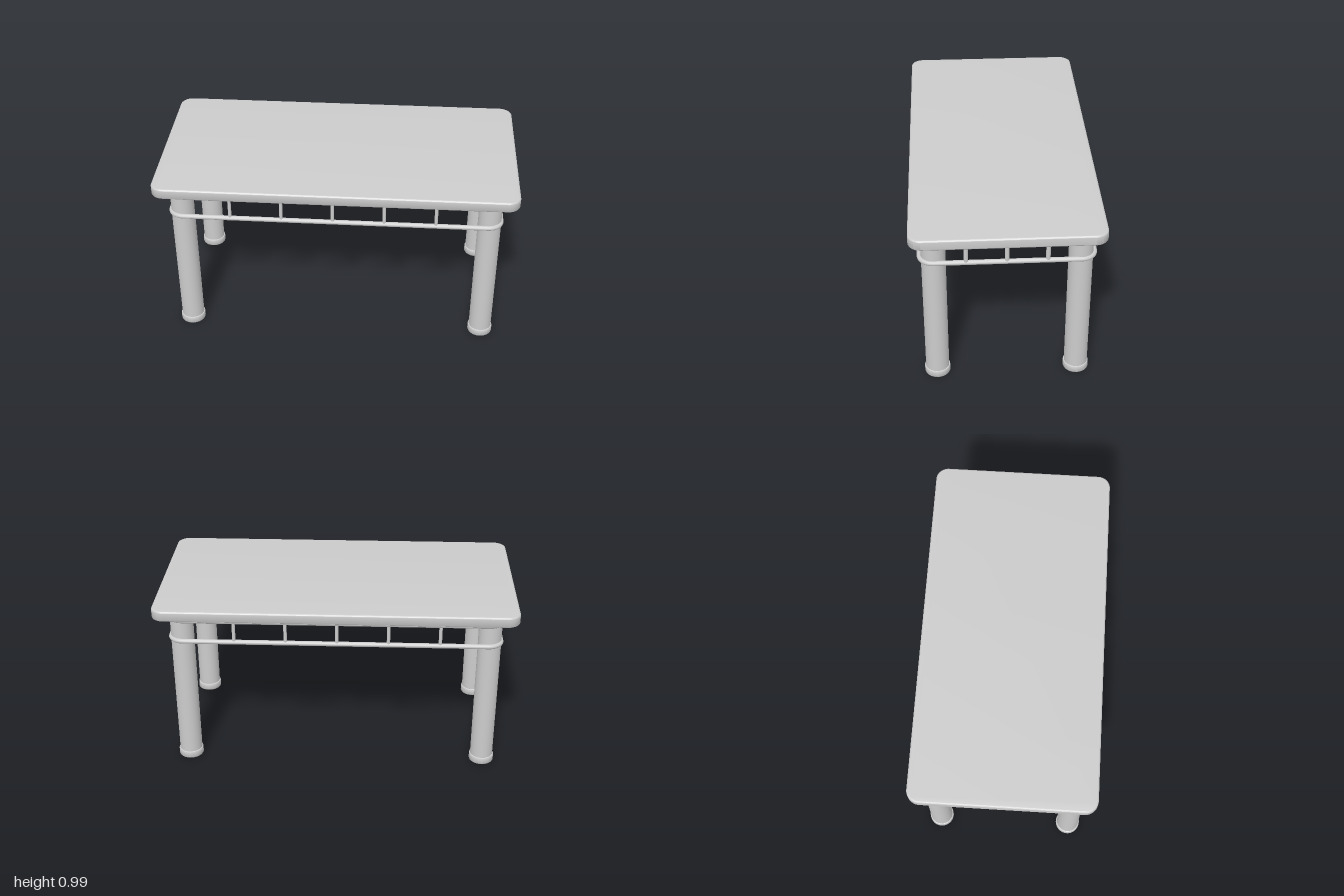
import * as THREE from 'three';
import { toCreasedNormals } from 'three/addons/utils/BufferGeometryUtils.js';

const grey = new THREE.MeshStandardMaterial({ color: 0xcccccc });

function add(parent, name, geometry, x = 0, y = 0, z = 0) {
  const mesh = new THREE.Mesh(geometry, grey);
  mesh.name = name;
  mesh.position.set(x, y, z);
  parent.add(mesh);
  return mesh;
}

// Rectangle with rounded corners, given by half sizes
function roundedRect(a, b, r) {
  const s = new THREE.Shape();
  s.moveTo(a, -b + r);
  s.lineTo(a, b - r);
  s.absarc(a - r, b - r, r, 0, Math.PI / 2);
  s.lineTo(-a + r, b);
  s.absarc(-a + r, b - r, r, Math.PI / 2, Math.PI);
  s.lineTo(-a, -b + r);
  s.absarc(-a + r, -b + r, r, Math.PI, Math.PI * 1.5);
  s.lineTo(a - r, -b);
  s.absarc(a - r, -b + r, r, Math.PI * 1.5, Math.PI * 2);
  return s;
}

// Lays a flat outline in the horizontal plane
class FlatLoop extends THREE.Curve {
  constructor(outline) {
    super();
    this.outline = outline;
  }
  getPoint(t, target = new THREE.Vector3()) {
    const p = this.outline.getPoint(t);
    return target.set(p.x, 0, -p.y);
  }
}

export function createModel() {
  const table = new THREE.Group();
  table.name = 'table';

  // Table top with softened edges
  const bevel = 0.01, topLow = 0.926, topHigh = 0.986;
  const topGeometry = new THREE.ExtrudeGeometry(roundedRect(1 - bevel, 0.508 - bevel, 0.06), {
    depth: topHigh - topLow - 2 * bevel,
    bevelEnabled: true, bevelThickness: bevel, bevelSize: bevel, bevelSegments: 4, curveSegments: 12,
  });
  topGeometry.rotateX(-Math.PI / 2);
  add(table, 'tableTop', toCreasedNormals(topGeometry, 0.6), 0, topLow + bevel, 0);

  // Legs with a rounded foot that has a small recess underneath
  const legGeometry = new THREE.CylinderGeometry(0.064, 0.064, 0.886, 40);
  const footProfile = [
    [0, 0.012], [0.012, 0.012], [0.012, 0], [0.064, 0], [0.068, 0.002], [0.07, 0.006],
    [0.07, 0.036], [0.068, 0.041], [0.064, 0.043], [0.05, 0.043],
  ].map(([r, y]) => new THREE.Vector2(r, y));
  const footGeometry = toCreasedNormals(new THREE.LatheGeometry(footProfile, 40), 0.7);
  for (const sx of [-1, 1]) {
    for (const sz of [-1, 1]) {
      const leg = new THREE.Group();
      leg.name = `${sz > 0 ? 'front' : 'back'}${sx > 0 ? 'Left' : 'Right'}Leg`;
      leg.position.set(sx * 0.85, 0, sz * 0.383);
      add(leg, 'post', legGeometry, 0, 0.483, 0);
      add(leg, 'foot', footGeometry);
      table.add(leg);
    }
  }

  // Two round rails running around the outside of the legs
  const railX = 0.912, railZ = 0.455, lowY = 0.783, highY = 0.909;
  const loop = new FlatLoop(roundedRect(railX, railZ, 0.072));
  const railGeometry = new THREE.TubeGeometry(loop, 320, 0.0135, 12, true);
  add(table, 'upperRail', railGeometry, 0, highY, 0);
  add(table, 'lowerRail', railGeometry, 0, lowY, 0);

  // Short spindles between the rails
  const midY = (lowY + highY) / 2, length = highY - lowY;
  const longSide = new THREE.CylinderGeometry(0.0095, 0.0095, length, 16);
  const shortSide = new THREE.CylinderGeometry(0.012, 0.012, length, 16);
  for (const side of [-1, 1]) {
    for (let i = -2; i <= 2; i++) {
      add(table, side > 0 ? 'frontSpindle' : 'backSpindle', longSide, -0.01 + i * 0.2825, midY, side * railZ);
    }
    for (let i = -1; i <= 1; i++) {
      add(table, side > 0 ? 'leftSpindle' : 'rightSpindle', shortSide, side * railX, midY, 0.004 + i * 0.2115);
    }
  }
  return table;
}
